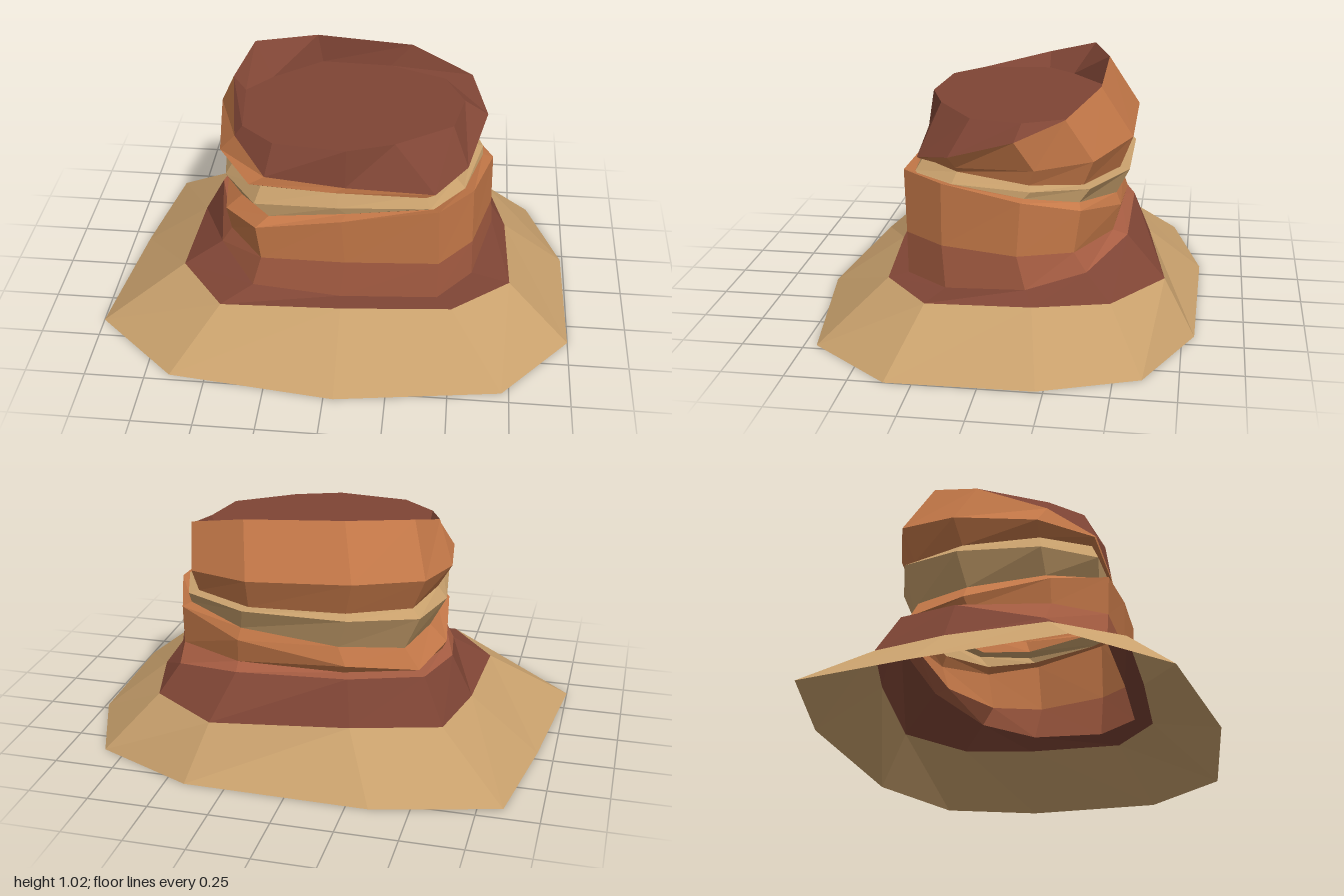
import * as THREE from 'three';

// Plan outlines as [x, z], counter-clockwise from the front corner on the -x side
const SKIRT_FOOT = [[-1, .4], [-.65, .72], [.04, .8], [.72, .7], [1, .36], [.99, -.22],
  [.84, -.61], [.42, -.8], [-.34, -.81], [-.85, -.68], [-.93, -.2]];
const SKIRT_TOP = [[-.66, .25], [-.46, .51], [.04, .49], [.5, .45], [.74, .25], [.72, -.17],
  [.64, -.47], [.35, -.67], [-.21, -.58], [-.57, -.48], [-.64, -.17]];
const BODY = [[-.49, .2], [-.33, .41], [.03, .41], [.43, .38], [.57, .2], [.65, -.13],
  [.57, -.36], [.28, -.5], [-.18, -.5], [-.47, -.4], [-.54, -.15]];
const PLATE = [[-.39, .19], [-.25, .31], [.05, .34], [.24, .27], [.47, .11], [.51, -.1],
  [.42, -.28], [.18, -.37], [-.12, -.38], [-.32, -.22], [-.42, -.1]];

// Level ring at height y
const level = (outline, y) => outline.map(([x, z]) => [x, y, z]);

// Body outline fitted to x0..x1, z0..z1
const fit = (x0, x1, z0, z1) => BODY.map(([x, z]) => [
  x0 + (x + .54) / 1.19 * (x1 - x0),
  z0 + (z + .5) / .91 * (z1 - z0)]);

// Ring on a sloping plane y = a + b*x + c*z, held between lo and hi
const tilted = (outline, a, b, c, lo = 0, hi = 2) => outline.map(([x, z]) =>
  [x, THREE.MathUtils.clamp(a + b * x + c * z, lo, hi), z]);

function facets(name, triangles, color) {
  const geometry = new THREE.BufferGeometry();
  geometry.setAttribute('position', new THREE.Float32BufferAttribute(triangles.flat(), 3));
  geometry.computeVertexNormals();
  const material = new THREE.MeshStandardMaterial({ color, flatShading: true, side: THREE.DoubleSide });
  const mesh = new THREE.Mesh(geometry, material);
  mesh.name = name;
  return mesh;
}

// Wall of quads between two rings
function band(name, lower, upper, color) {
  const triangles = [];
  lower.forEach((a, i) => {
    const j = (i + 1) % lower.length;
    triangles.push(a, lower[j], upper[j], a, upper[j], upper[i]);
  });
  return facets(name, triangles, color);
}

export function createModel() {
  const sand = 0xc8a06c, rust = 0x7f4535, clay = 0xa85e43, orange = 0xc47848;
  const group = new THREE.Group();
  group.name = 'layeredRock';

  // Strata from the ground up; each colour fills from the previous ring
  let previous = level(SKIRT_FOOT, 0);
  const strata = [
    ['sandSkirt', level(SKIRT_TOP, .22), sand],
    ['rustShelf', tilted(fit(-.55, .66, -.51, .41), .305, -.1, -.2, .222, .4), rust],
    ['clayFoot', level(fit(-.5, .65, -.45, .41), .4), clay],
    ['lowerWall', tilted(fit(-.52, .645, -.48, .42), .54, .15, .155), orange],
    ['wallLedge', tilted(fit(-.45, .6, -.46, .37), .575, .1, .1, 0, .645), orange],
    ['paleSeamUnderside', level(fit(-.52, .6, -.51, .38), .65), sand],
    ['paleSeamTop', tilted(fit(-.48, .56, -.47, .35), .69, -.03, .06), sand],
    ['capOverhang', tilted(fit(-.54, .58, -.52, .37), .75, -.06, -.09), orange],
    ['capWall', tilted(fit(-.47, .61, -.39, .365), .88, -.1, -.37, 0, 1.025), orange],
    ['capRim', level(PLATE, .9), rust],
  ];
  for (const [name, ring, color] of strata) {
    group.add(band(name, previous, ring, color));
    previous = ring;
  }

  // Flat plate closing the cap
  const plate = previous.flatMap((p, i) => [[.03, .9, 0], p, previous[(i + 1) % previous.length]]);
  group.add(facets('capPlate', plate, rust));
  return group;
}
